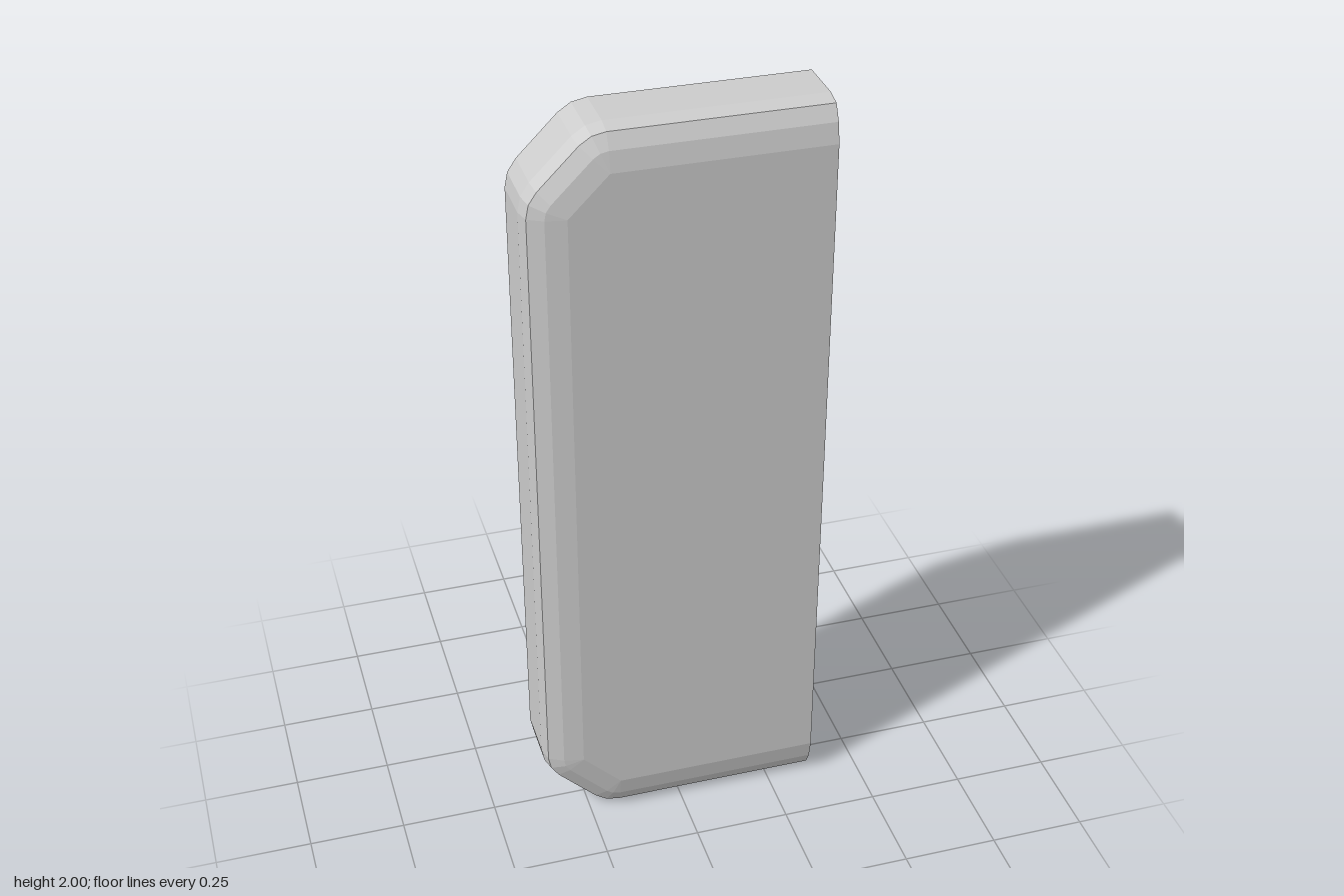
import * as THREE from 'three';

// Outline counter-clockwise seen from the front; r is the remaining edge radius.
function outline(r) {
  const top = [[0.37, 0.9 + r]];
  // Two small arcs joined by the diagonal corner cut
  for (const [cx, cy, start] of [[-0.17, 0.9, 90], [-0.27, 0.8, 135]]) {
    for (let i = 0; i < 3; i++) {
      const a = THREE.MathUtils.degToRad(start + i * 22.5);
      top.push([cx + r * Math.cos(a), cy + r * Math.sin(a)]);
    }
  }
  const bottom = top.map(([x, y]) => [x, -y]).reverse();
  return [...top, ...bottom].map(([x, y]) => [x, y + 1]);
}

function panelGeometry() {
  // Depth and radius of each section: straight sides, then a rounded front edge
  const levels = [[-0.1, 0.1], [0.03, 0.1], [0.07, 0.09], [0.09, 0.052], [0.1, 0.001]];
  const positions = [];
  const index = [];
  for (const [z, r] of levels) {
    for (const [x, y] of outline(r)) positions.push(x, y, z);
  }
  const n = positions.length / 3 / levels.length;
  for (let j = 0; j < levels.length - 1; j++) {
    for (let i = 0; i < n; i++) {
      const a = j * n + i;
      const b = j * n + (i + 1) % n;
      index.push(a, b, b + n, a, b + n, a + n);
    }
  }
  // Flat back and front faces
  const front = (levels.length - 1) * n;
  for (let i = 1; i < n - 1; i++) {
    index.push(0, i + 1, i);
    index.push(front, front + i, front + i + 1);
  }
  const indexed = new THREE.BufferGeometry();
  indexed.setAttribute('position', new THREE.Float32BufferAttribute(positions, 3));
  indexed.setIndex(index);
  const geometry = indexed.toNonIndexed();
  geometry.computeVertexNormals();
  return geometry;
}

export function createModel() {
  const group = new THREE.Group();
  group.name = 'roundedPanel';
  const material = new THREE.MeshStandardMaterial({ color: 0xcccccc, flatShading: true });
  const panel = new THREE.Mesh(panelGeometry(), material);
  panel.name = 'panel';
  group.add(panel);
  return group;
}
